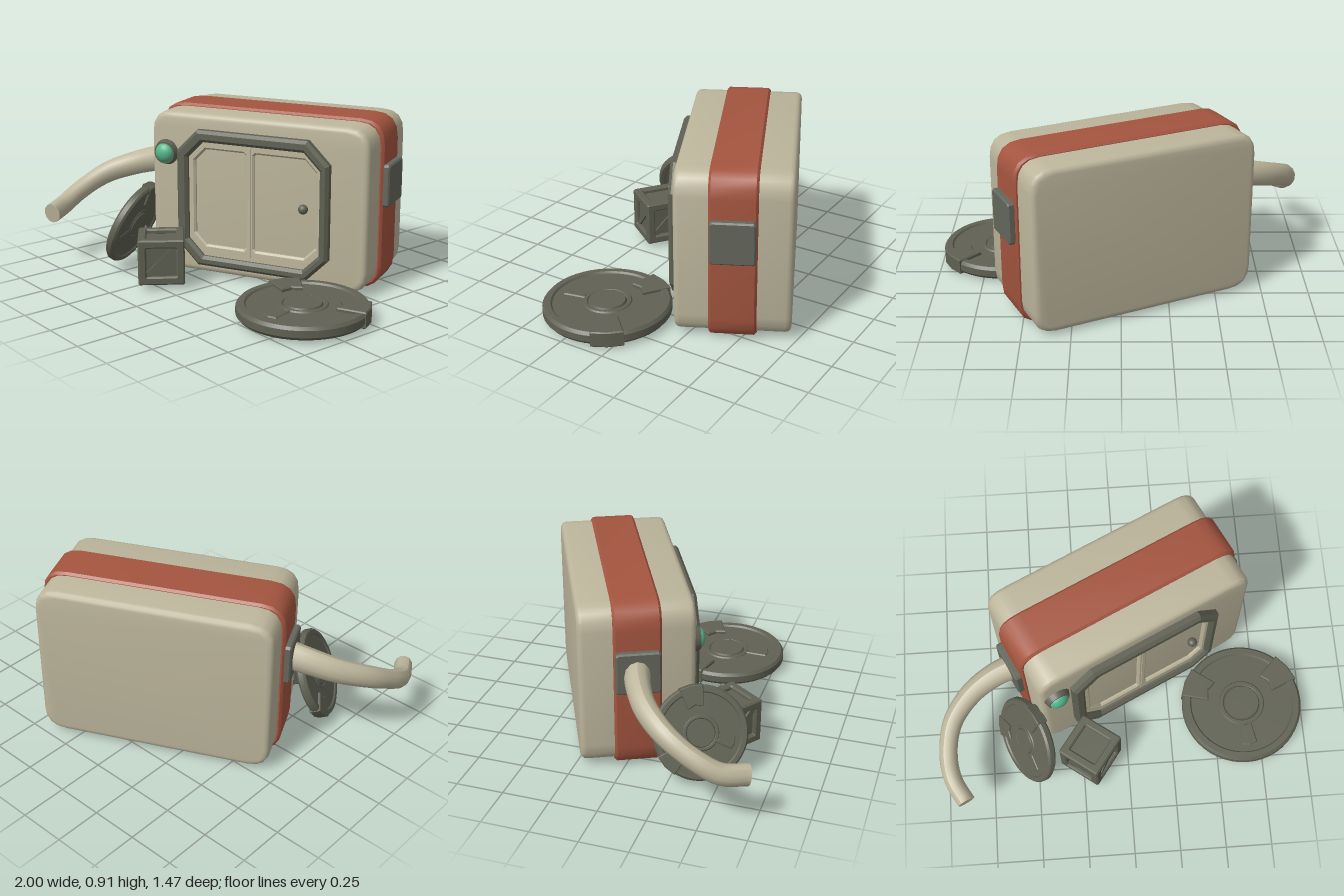
import * as THREE from 'three';
import { toCreasedNormals } from 'three/addons/utils/BufferGeometryUtils.js';

const mat = (name, color) => { const m = new THREE.MeshStandardMaterial({ color }); m.name = name; return m; };

export function createModel() {
  const cream = mat('cream shell', 0xbdb69c);
  const red = mat('rust red', 0xa4553f);
  const dark = mat('dark olive metal', 0x606153);
  const grey = mat('grey plate', 0x64675c);
  const green = mat('green glass', 0x55b58a);

  const add = (parent, name, geo, material, x = 0, y = 0, z = 0) => {
    const m = new THREE.Mesh(geo, material);
    m.name = name;
    m.position.set(x, y, z);
    parent.add(m);
    return m;
  };
  const group = (parent, name) => { const g = new THREE.Group(); g.name = name; parent.add(g); return g; };

  // Rectangle with cut or rounded corners; cl and cr are the left and right corner sizes
  const rect = (Type, x0, x1, y0, y1, cl, cr = cl, round = false) => {
    const s = new Type();
    const corner = (cx, cy, x, y) => (round ? s.quadraticCurveTo(cx, cy, x, y) : s.lineTo(x, y));
    s.moveTo(x0 + cl, y0);
    s.lineTo(x1 - cr, y0); corner(x1, y0, x1, y0 + cr);
    s.lineTo(x1, y1 - cr); corner(x1, y1, x1 - cr, y1);
    s.lineTo(x0 + cl, y1); corner(x0, y1, x0, y1 - cl);
    s.lineTo(x0, y0 + cl); corner(x0, y0, x0 + cl, y0);
    return s;
  };
  // Extrusion between two depths, with the bevel kept inside them
  const slab = (shape, z0, z1, bevel, segs = 1, crease = 0.3) => {
    const g = new THREE.ExtrudeGeometry(shape, {
      depth: z1 - z0 - 2 * bevel, bevelEnabled: bevel > 0, bevelSize: bevel, bevelThickness: bevel,
      bevelOffset: -bevel, bevelSegments: segs, curveSegments: 4,
    });
    g.translate(0, 0, z0 + bevel);
    return toCreasedNormals(g, crease);
  };

  const model = new THREE.Group();
  model.name = 'capsuleHouse';

  // Capsule shell and its belt
  const pod = group(model, 'pod');
  pod.position.set(-0.0075, 0, -0.205);
  pod.rotation.y = 0.45;
  add(pod, 'shell', slab(rect(THREE.Shape, -0.62, 0.62, 0.02, 0.9, 0.12, 0.12, true), -0.293, 0.293, 0.03, 3, 0.6), cream);
  add(pod, 'belt', slab(rect(THREE.Shape, -0.64, 0.64, 0.002, 0.915, 0.13, 0.13, true), -0.12, 0.12, 0.012, 1, 0.5), red);
  for (const s of [-1, 1]) {
    add(pod, 'sidePlate', slab(rect(THREE.Shape, -0.113, 0.113, -0.113, 0.113, 0.012), -0.02, 0.02, 0.008), grey, s * 0.652, 0.568, 0)
      .rotation.y = s * Math.PI / 2;
  }

  // Door frame, an octagonal ring with sloping edges
  const ring = rect(THREE.Shape, -0.45, 0.42, 0.07, 0.82, 0.12);
  ring.holes.push(rect(THREE.Path, -0.385, 0.37, 0.125, 0.757, 0.09));
  add(pod, 'doorFrame', slab(ring, 0.27, 0.34, 0.016), dark);

  // Double door with two sunken panels
  const door = rect(THREE.Shape, -0.4, 0.385, 0.11, 0.77, 0.09);
  door.holes.push(rect(THREE.Path, -0.35, -0.055, 0.185, 0.715, 0.065, 0.01));
  door.holes.push(rect(THREE.Path, -0.005, 0.345, 0.185, 0.715, 0.01, 0.065));
  add(pod, 'door', slab(door, 0.28, 0.312, 0.01), cream);
  add(pod, 'doorSeam', new THREE.BoxGeometry(0.012, 0.6, 0.016), cream, -0.03, 0.445, 0.31);
  add(pod, 'doorKnob', new THREE.SphereGeometry(0.026, 16, 12), dark, 0.278, 0.455, 0.318);

  // Round lamp
  const base = add(pod, 'lampBase', new THREE.CylinderGeometry(0.06, 0.072, 0.035, 24), dark, -0.53, 0.675, 0.305);
  base.rotation.x = Math.PI / 2;
  add(pod, 'lampGlass', new THREE.SphereGeometry(0.054, 24, 16), green, -0.53, 0.675, 0.312).scale.z = 0.75;

  // Hose, tapering away from the side plate
  const path = new THREE.CatmullRomCurve3([
    [-0.585, 0.565, 0.07], [-0.68, 0.55, 0.105], [-0.81, 0.51, 0.185], [-0.92, 0.45, 0.32],
    [-0.957, 0.365, 0.48], [-0.94, 0.305, 0.6], [-0.878, 0.287, 0.715],
  ].map((p) => new THREE.Vector3(...p)));
  const segs = 40, sides = 12;
  const tube = new THREE.TubeGeometry(path, segs, 1, sides, false);
  const pos = tube.attributes.position, v = new THREE.Vector3();
  for (let i = 0; i < pos.count; i++) {
    const t = Math.floor(i / (sides + 1)) / segs;
    const c = path.getPointAt(t);
    v.fromBufferAttribute(pos, i).sub(c).multiplyScalar(0.066 - 0.018 * Math.min(1, t * 1.6)).add(c);
    v.y += (v.y - c.y) * 0.18;
    pos.setXYZ(i, v.x, v.y, v.z);
  }
  tube.computeVertexNormals();
  const hose = group(model, 'hose');
  add(hose, 'hoseTube', tube, cream);
  const end = path.getPointAt(1);
  const cap = add(hose, 'hoseEnd', new THREE.CircleGeometry(0.048, sides), cream, end.x, end.y, end.z);
  cap.scale.y = 1.18;
  cap.lookAt(end.clone().add(path.getTangentAt(1)));

  // Hatch disc: rim, sunken web, hub and three clamps, alike on both faces
  const half = [[0.335, 0.018], [0.322, 0.034], [0.292, 0.034], [0.284, 0.024], [0.128, 0.024],
    [0.122, 0.031], [0.106, 0.031], [0.1, 0.024], [0.094, 0.036], [0, 0.036]];
  const profile = [...half.map(([r, y]) => [r, -y]).reverse(), ...half].map((p) => new THREE.Vector2(...p));
  const makeDisc = (name) => {
    const disc = group(model, name);
    add(disc, 'discBody', toCreasedNormals(new THREE.LatheGeometry(profile, 48), 0.5), dark);
    [155, 35, -85].forEach((deg, i) => {
      const outer = i === 2 ? 0.25 : 0.342, inner = i === 2 ? 0.11 : 0.18;
      const w = i === 2 ? 0.045 : 0.085, h = i === 2 ? 0.03 : 0.043;
      const s = new THREE.Shape([[inner, -w * 0.65], [outer - 0.012, -w], [outer, 0], [outer - 0.012, w],
        [inner, w * 0.65], [inner + 0.02, 0]].map((p) => new THREE.Vector2(...p)));
      const arm = group(disc, 'clampArm');
      arm.rotation.y = deg * Math.PI / 180;
      add(arm, 'clamp', slab(s, -h, h, 0.006), dark).rotation.x = -Math.PI / 2;
    });
    return disc;
  };
  makeDisc('flatDisc').position.set(0.66, 0.055, 0.205);
  const leaning = makeDisc('leaningDisc');
  leaning.scale.setScalar(0.72);
  leaning.position.set(-0.543, 0.25, 0.385);
  leaning.quaternion.setFromUnitVectors(new THREE.Vector3(0, 1, 0), new THREE.Vector3(-0.82, 0.4, 0.4).normalize());

  // Crate with framed faces and diagonal braces
  const crate = group(model, 'crate');
  crate.position.set(-0.206, 0.154, 0.443);
  crate.rotation.y = -0.63;
  add(crate, 'crateCore', new THREE.BoxGeometry(0.2, 0.2, 0.2), dark);
  const a = 0.1235;
  const rots = [[0, 0], [0, Math.PI / 2], [0, Math.PI], [0, -Math.PI / 2], [Math.PI / 2, 0], [-Math.PI / 2, 0]];
  rots.forEach(([rx, ry], i) => {
    const face = group(crate, 'crateFace');
    face.rotation.set(rx, ry, 0);
    const frame = rect(THREE.Shape, -a, a, -a, a, 0.008);
    frame.holes.push(rect(THREE.Path, -a + 0.045, a - 0.045, -a + 0.045, a - 0.045, 0.004));
    add(face, 'crateFrame', slab(frame, a - 0.03, a, 0.008), dark);
    if (i < 4) add(face, 'crateBrace', new THREE.BoxGeometry(0.032, 0.22, 0.02), dark, 0, 0, 0.102).rotation.z = -Math.PI / 4;
  });

  return model;
}
